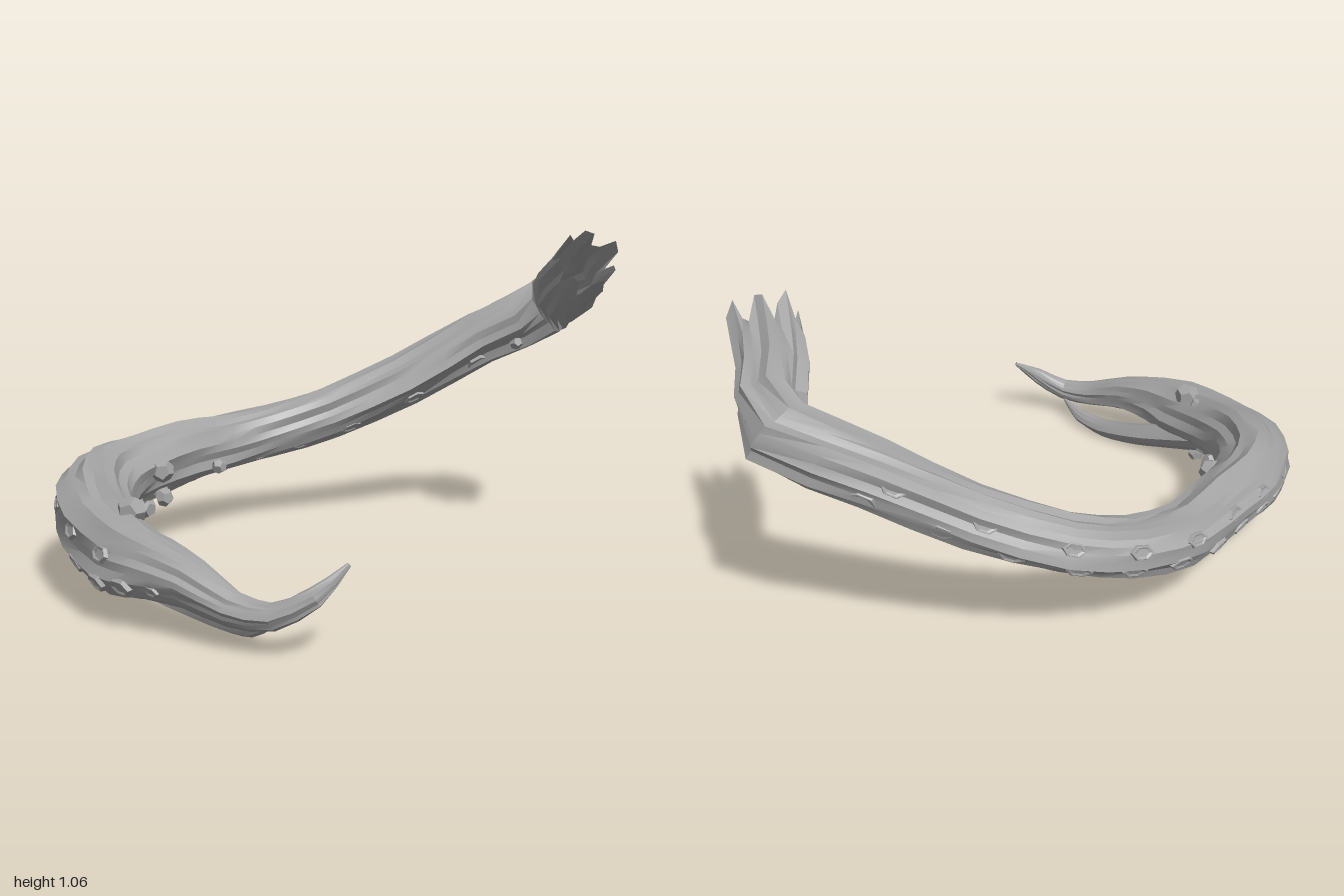
import * as THREE from 'three';
import { toCreasedNormals } from 'three/addons/utils/BufferGeometryUtils.js';

// Path points from the torn end to the curled tip: x, y, z, radius
const BODY = [
  [0.495, 0.955, -0.685, 0.095], [0.37, 0.885, -0.78, 0.098], [0.22, 0.785, -0.905, 0.102],
  [0, 0.665, -0.77, 0.096], [-0.2, 0.508, -0.58, 0.092],
  [-0.39, 0.388, -0.38, 0.09], [-0.51, 0.33, -0.2, 0.09], [-0.57, 0.3, 0, 0.096],
  [-0.565, 0.295, 0.2, 0.102], [-0.55, 0.275, 0.4, 0.108], [-0.5, 0.26, 0.57, 0.118],
  [-0.38, 0.235, 0.71, 0.12], [-0.2, 0.195, 0.82, 0.115], [0, 0.168, 0.885, 0.108],
  [0.12, 0.168, 0.9, 0.088], [0.27, 0.155, 0.895, 0.064], [0.42, 0.113, 0.88, 0.046],
  [0.54, 0.108, 0.85, 0.036], [0.63, 0.165, 0.79, 0.028], [0.668, 0.24, 0.7, 0.006],
];
const PRONG = [
  [-0.2, 0.16, 0.82, 0.06], [0, 0.1, 0.81, 0.05], [0.15, 0.06, 0.795, 0.04],
  [0.3, 0.035, 0.79, 0.033], [0.42, 0.04, 0.805, 0.026], [0.52, 0.075, 0.83, 0.005],
];

// Limb with a ridged cross-section; s counts along the path points
function makeLimb(points) {
  const last = points.length - 1;
  const curve = new THREE.CatmullRomCurve3(
    points.map(([x, y, z]) => new THREE.Vector3(x, y, z)), false, 'catmullrom', 0.4);
  const frame = (s) => {
    const t = s / last;
    const center = curve.getPoint(t);
    const along = curve.getTangent(t);
    const side = new THREE.Vector3(0, 1, 0).cross(along).normalize();
    const up = along.clone().cross(side);
    const k = Math.min(Math.floor(s), last - 1);
    const radius = THREE.MathUtils.lerp(points[k][3], points[k + 1][3], s - k);
    return { center, along, side, up, radius };
  };
  // deeper grooves near the torn end
  const ridges = (s, a) => {
    const depth = 1 + 0.5 * Math.max(0, 1 - s / 7);
    return 1 + depth * (0.055 * Math.sin(5 * a + 0.7 * s)
      + 0.06 * Math.sin(9 * a - 0.9 * s + 1) + 0.03 * Math.sin(3 * a + 2.1 * s));
  };
  const at = (s, a) => {
    const f = frame(s);
    const normal = f.side.clone().multiplyScalar(Math.cos(a)).addScaledVector(f.up, Math.sin(a));
    const point = f.center.clone().addScaledVector(normal, f.radius * ridges(s, a));
    return { point, normal, along: f.along };
  };
  return { last, at };
}

function skin(limb, sides, steps, torn) {
  const pos = [], index = [];
  const rings = limb.last * steps;
  const teeth = [-0.05, 0.05, 0.02, -0.07, -0.02, 0.06, -0.03];
  for (let i = 0; i <= rings; i++) {
    for (let j = 0; j < sides; j++) {
      const { point, along } = limb.at(i / steps, (j / sides) * Math.PI * 2);
      // ragged teeth on the open end
      if (torn && i === 0) point.addScaledVector(along, teeth[j % teeth.length]);
      pos.push(point.x, point.y, point.z);
    }
  }
  for (let i = 0; i < rings; i++) {
    for (let j = 0; j < sides; j++) {
      const k = (j + 1) % sides;
      const a = i * sides + j, b = i * sides + k, c = a + sides, d = b + sides;
      index.push(a, b, c, b, d, c);
    }
  }
  const geo = new THREE.BufferGeometry();
  geo.setAttribute('position', new THREE.Float32BufferAttribute(pos, 3));
  geo.setIndex(index);
  return toCreasedNormals(geo, 0.35);
}

export function createModel() {
  const group = new THREE.Group();
  const grey = new THREE.MeshStandardMaterial({ color: 0xa3a3a3, side: THREE.DoubleSide });
  grey.name = 'grey';
  const add = (name, geo, parent = group) => {
    const mesh = new THREE.Mesh(geo, grey);
    mesh.name = name;
    parent.add(mesh);
    return mesh;
  };

  const body = makeLimb(BODY);
  add('limb', skin(body, 24, 2, true));
  add('lowerProng', skin(makeLimb(PRONG), 10, 3, false));

  // Shallow six-sided cups lying on the skin, stretched along the limb
  const cups = new THREE.Group();
  cups.name = 'cups';
  group.add(cups);
  const profile = [[0, 0], [0.6, 0.02], [0.85, 0.2], [1, 0.17], [1.15, -0.4]]
    .map(([x, y]) => new THREE.Vector2(x, y));
  const cupGeo = toCreasedNormals(new THREE.LatheGeometry(profile, 6), 0.3);
  const addCup = (s, degrees, size) => {
    const { point, normal, along } = body.at(s, THREE.MathUtils.degToRad(degrees));
    const across = normal.clone().cross(along).normalize();
    const lengthwise = across.clone().cross(normal);
    const cup = add('cup', cupGeo, cups);
    cup.quaternion.setFromRotationMatrix(new THREE.Matrix4().makeBasis(across, normal, lengthwise));
    cup.position.copy(point).addScaledVector(normal, -0.002);
    cup.scale.set(size * 0.6, size * 0.5, size);
  };
  // Rows on the outer, lower outer and lower inner sides
  for (let s = 3; s < 15; s += 0.72) addCup(s, 205, s > 14 ? 0.026 : 0.042);
  for (let s = 3.2; s < 14; s += 0.9) addCup(s, 160, 0.038);
  for (let s = 3.2; s < 13.5; s += 0.8) addCup(s, 308, 0.036);
  for (let s = 9.2; s < 13; s += 0.7) addCup(s, 255, 0.036);

  // Faceted warts: x, y, z, radius
  const warts = [
    [-0.06, 0.285, 0.82, 0.045], [-0.12, 0.275, 0.79, 0.022], [-0.5, 0.115, 0.56, 0.04],
    [-0.26, 0.12, 0.69, 0.042], [-0.42, 0.285, 0.4, 0.04], [-0.5, 0.15, 0.41, 0.038],
    [-0.47, 0.18, 0.35, 0.032], [-0.12, 0.06, 0.81, 0.03], [-0.46, 0.25, 0.11, 0.027],
    [0.14, 0.65, -0.8, 0.026],
  ];
  warts.forEach(([x, y, z, r], i) => {
    const wart = add('wart', toCreasedNormals(new THREE.DodecahedronGeometry(r), 0.3));
    wart.position.set(x, y, z);
    wart.rotation.set(i, i * 1.7, 0);
  });

  return group;
}
